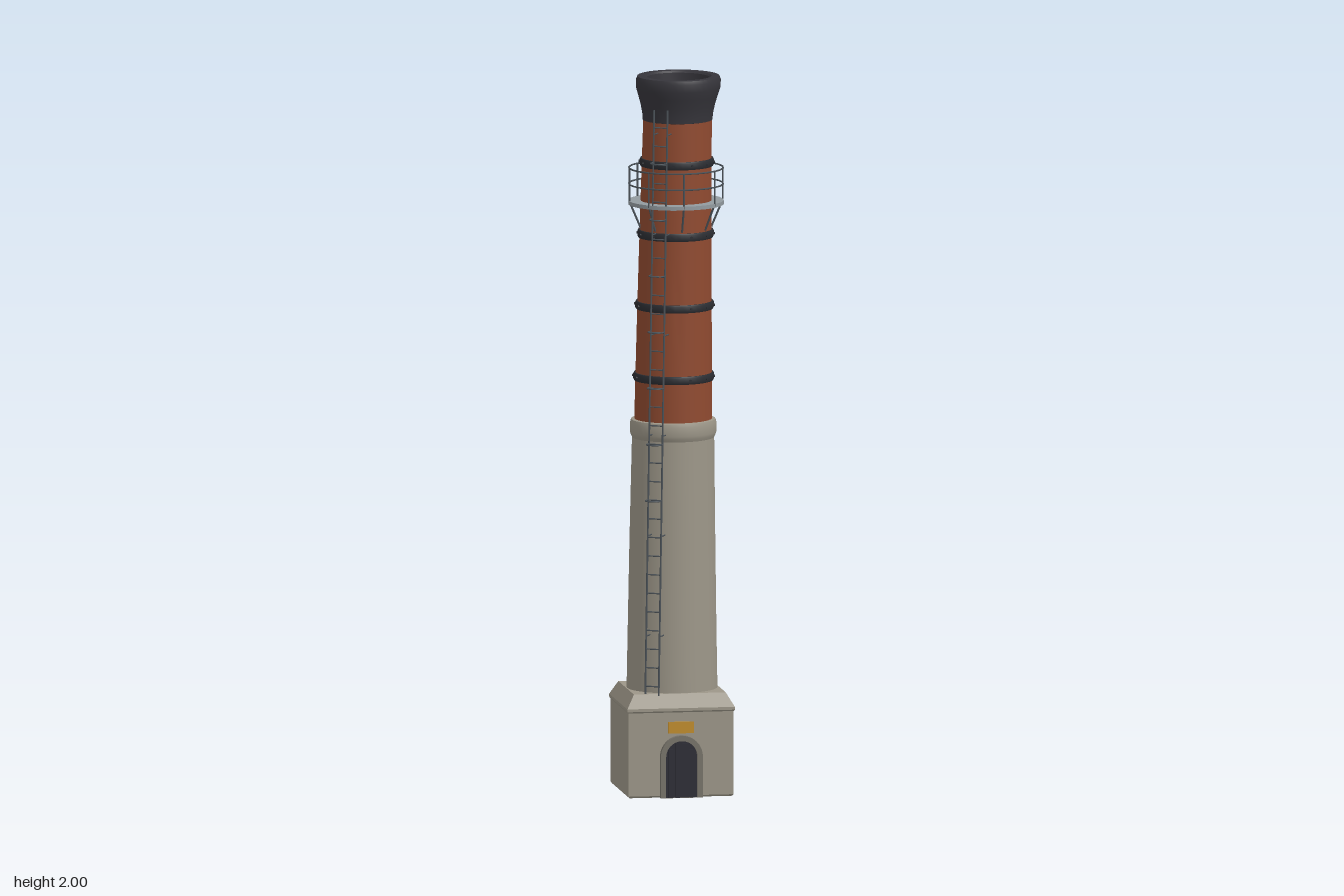
import * as THREE from 'three';
import { toCreasedNormals } from 'three/addons/utils/BufferGeometryUtils.js';

const mat = (name, color, side = THREE.FrontSide) => {
  const m = new THREE.MeshStandardMaterial({ color, side });
  m.name = name;
  return m;
};

export function createModel() {
  const concrete = mat('concrete', 0x9c9688);
  const frameStone = mat('door stone', 0x77736a);
  const brick = mat('brick', 0x8f4a30);
  const soot = mat('sooty cap', 0x36353b);
  const iron = mat('iron band', 0x2b2d32);
  const steel = mat('platform steel', 0x929a9f);
  const ladderSteel = mat('ladder steel', 0x4c5359);
  const doorDark = mat('door', 0x2c2c35);
  const gold = mat('plaque', 0xc08c2c);

  const model = new THREE.Group();
  model.name = 'chimney';
  model.position.z = -0.008;

  const add = (name, geo, material, parent = model) => {
    const m = new THREE.Mesh(geo, material);
    m.name = name;
    parent.add(m);
    return m;
  };

  // The tall shaft leans gently towards +x
  const lean = y => 0.018 * Math.pow(Math.max(0, y - 0.29) / 1.71, 2);
  const bend = geo => {
    const p = geo.attributes.position;
    for (let i = 0; i < p.count; i++) p.setX(i, p.getX(i) + lean(p.getY(i)));
    return geo;
  };
  const lathe = (name, pts, material, parent) => add(name, toCreasedNormals(
    bend(new THREE.LatheGeometry(pts.map(([r, y]) => new THREE.Vector2(r, y)), 40)), 0.6), material, parent);
  const tube = (name, pts, r, material, parent, closed = false, straight = true) => {
    const v = pts.map(p => new THREE.Vector3(...p));
    const curve = straight ? new THREE.LineCurve3(v[0], v[1]) : new THREE.CatmullRomCurve3(v, closed);
    return add(name, new THREE.TubeGeometry(curve, straight ? 1 : 24, r, 5, closed), material, parent);
  };

  // Square plinth: four-sided rings from bottom to top
  const S = Math.SQRT2;
  const plinth = new THREE.LatheGeometry(
    [[0, 0], [0.144, 0], [0.148, 0.005], [0.148, 0.238], [0.151, 0.242], [0.151, 0.25], [0.129, 0.288], [0, 0.288]]
      .map(([r, y]) => new THREE.Vector2(r * S, y)), 4);
  plinth.rotateY(Math.PI / 4);
  add('plinth', toCreasedNormals(plinth, 0.2), concrete);

  // Shaft
  lathe('concreteShaft', [[0.126, 0.286], [0.123, 0.45], [0.119, 0.7], [0.114, 0.99]], concrete);
  lathe('collar', [[0.112, 0.985], [0.118, 0.997], [0.12, 1.005], [0.12, 1.03], [0.117, 1.04], [0.104, 1.042]], concrete);
  const rBrick = y => 0.108 - 0.013 * (y - 1.04) / 0.84;
  lathe('brickShaft', [1.03, 1.2, 1.35, 1.5, 1.65, 1.8, 1.89].map(y => [rBrick(y), y]), brick);

  // Flared cap with a recessed mouth
  lathe('cap', [[0.09, 1.876], [0.097, 1.878], [0.098, 1.895], [0.103, 1.92], [0.11, 1.945], [0.117, 1.968],
    [0.118, 1.99], [0.114, 2], [0.092, 2], [0.0875, 1.995], [0.085, 1.965], [0, 1.965]], soot);

  // Iron bands with bolts
  for (const y of [1.16, 1.36, 1.56, 1.76]) {
    const r = rBrick(y);
    const band = new THREE.Group();
    band.name = 'ironBand';
    model.add(band);
    lathe('hoop', [[r - 0.003, y - 0.011], [r + 0.004, y - 0.011], [r + 0.006, y - 0.007],
      [r + 0.006, y + 0.007], [r + 0.004, y + 0.011], [r - 0.003, y + 0.011]], iron, band);
    for (let i = 0; i < 12; i++) {
      const a = (i + 0.5) / 12 * Math.PI * 2;
      const bolt = add('bolt', new THREE.CylinderGeometry(0.0035, 0.0035, 0.006, 6).rotateX(Math.PI / 2), iron, band);
      bolt.position.set(lean(y) + Math.sin(a) * (r + 0.006), y, Math.cos(a) * (r + 0.006));
      bolt.rotation.y = a;
    }
  }

  // Service platform with railing and brackets
  const platform = new THREE.Group();
  platform.name = 'platform';
  platform.position.x = lean(1.65);
  model.add(platform);
  const deck = new THREE.LatheGeometry([[0.096, 1.641], [0.133, 1.641], [0.133, 1.652], [0.096, 1.652]]
    .map(p => new THREE.Vector2(...p)), 24);
  add('deck', toCreasedNormals(deck, 0.5), steel, platform);
  for (const y of [1.698, 1.743]) {
    const rail = add('railing', new THREE.TorusGeometry(0.131, 0.0025, 5, 24).rotateX(Math.PI / 2), ladderSteel, platform);
    rail.position.y = y;
  }
  for (let i = 0; i < 8; i++) {
    const a = i / 8 * Math.PI * 2;
    const at = (r, y) => [Math.sin(a) * r, y, Math.cos(a) * r];
    tube('railPost', [at(0.131, 1.645), at(0.131, 1.744)], 0.0025, ladderSteel, platform);
    tube('bracket', [at(0.128, 1.643), at(0.099, 1.575)], 0.003, ladderSteel, platform);
  }

  // Caged ladder: u runs across it, n points away from the shaft
  const ladder = new THREE.Group();
  ladder.name = 'ladder';
  model.add(ladder);
  const ang = 0.55, W = 0.02;
  const u = [Math.cos(ang), Math.sin(ang)], n = [-Math.sin(ang), Math.cos(ang)];
  const at = (y, across, out) => {
    const t = (y - 0.285) / 1.635;
    return [-0.079 + 0.03 * t + u[0] * across + n[0] * out, y,
      0.133 - 0.03 * t + u[1] * across + n[1] * out];
  };
  for (const s of [-1, 1]) {
    tube('ladderRail', [at(0.285, s * W, 0), at(1.92, s * W, 0)], 0.0027, ladderSteel, ladder);
    for (let y = 0.45; y < 1.9; y += 0.28)
      tube('standoff', [at(y, s * W, 0), at(y, s * W, -0.036)], 0.002, ladderSteel, ladder);
  }
  for (let y = 0.31; y < 1.92; y += 0.052)
    tube('rung', [at(y, -W, 0), at(y, W, 0)], 0.002, ladderSteel, ladder);
  for (let y = 0.83; y < 1.9; y += 0.157)
    tube('cageHoop', [at(y, -W, 0), at(y, -W - 0.002, 0.014), at(y, -0.012, 0.028), at(y, 0.012, 0.028),
      at(y, W + 0.002, 0.014), at(y, W, 0)], 0.002, ladderSteel, ladder, false, false);

  // Arched doorway
  const arch = (Ctor, w, h) => {
    const s = new Ctor();
    s.moveTo(-w, 0);
    s.lineTo(w, 0);
    s.lineTo(w, h - w);
    s.absarc(0, h - w, w, 0, Math.PI, false);
    s.lineTo(-w, 0);
    return s;
  };
  const frame = arch(THREE.Shape, 0.059, 0.174);
  frame.holes.push(arch(THREE.Path, 0.044, 0.159));
  add('doorFrame', new THREE.ExtrudeGeometry(frame, { depth: 0.016, bevelEnabled: false, curveSegments: 16 })
    .translate(0, 0, 0.147), frameStone);
  add('doorPanel', new THREE.ExtrudeGeometry(arch(THREE.Shape, 0.0445, 0.1595),
    { depth: 0.005, bevelEnabled: false, curveSegments: 16 }).translate(0, 0, 0.147), doorDark);
  for (const x of [-0.03, -0.01, 0.01, 0.03]) {
    const h = Math.abs(x) > 0.02 ? 0.135 : 0.152;
    add('doorSlat', new THREE.BoxGeometry(0.014, h, 0.006), doorDark).position.set(x, h / 2, 0.154);
  }

  // Plaque above the door
  add('plaque', new THREE.BoxGeometry(0.072, 0.032, 0.008), gold).position.set(0, 0.196, 0.151);

  return model;
}
